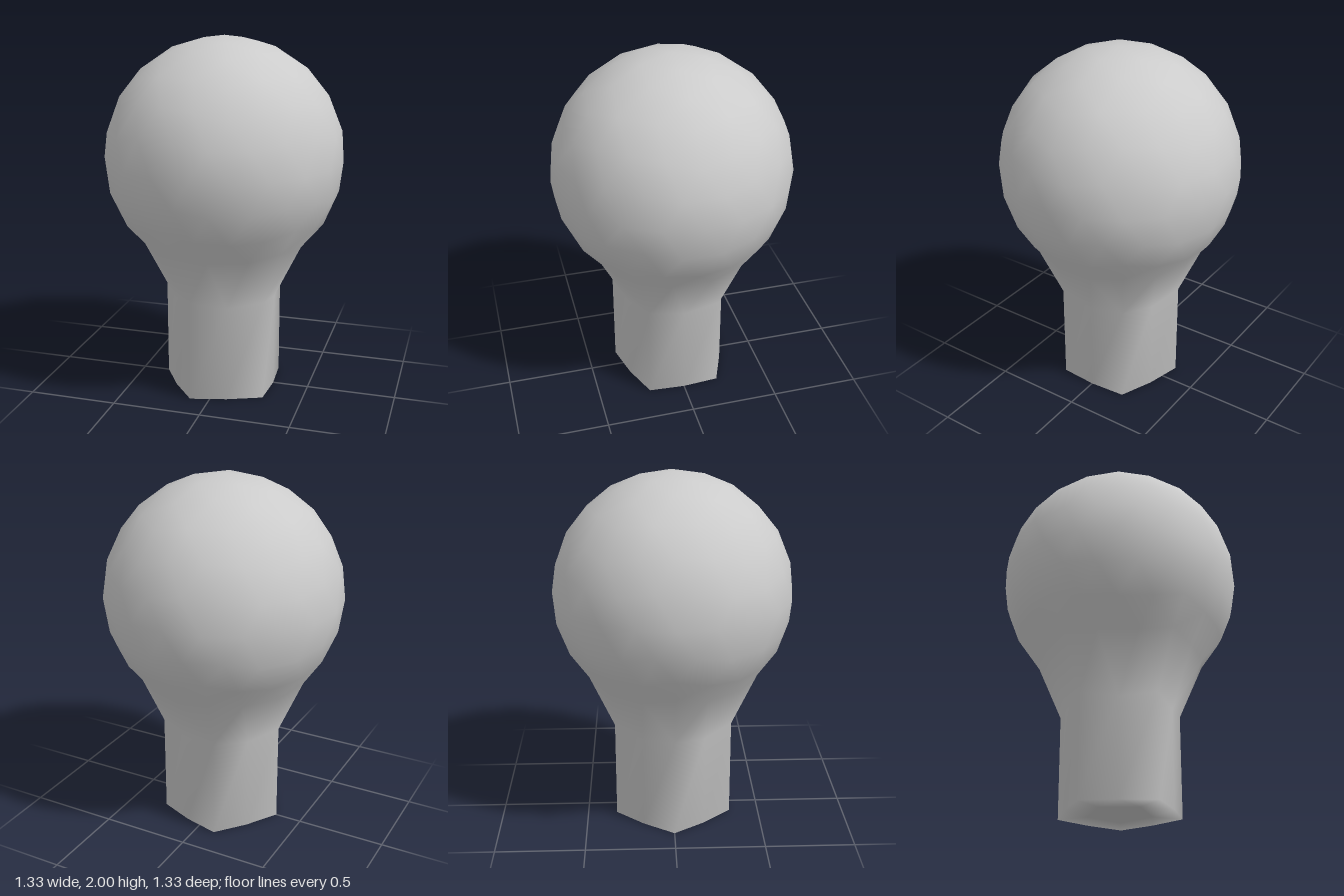
import * as THREE from 'three';
import { mergeVertices } from 'three/addons/utils/BufferGeometryUtils.js';

const RADIUS = 0.663, CENTRE = 2 - RADIUS, DROP = 0.2;

// Upright icosahedron, poles on the y axis, as a list of unit-vector triangles
function icosahedron() {
  const ring = (y, offset) => Array.from({ length: 5 }, (_, i) => {
    const a = (i * 72 + offset) * Math.PI / 180, r = Math.sqrt(1 - y * y);
    return new THREE.Vector3(r * Math.cos(a), y, r * Math.sin(a));
  });
  const h = 1 / Math.sqrt(5);
  const top = new THREE.Vector3(0, 1, 0), bottom = new THREE.Vector3(0, -1, 0);
  const U = ring(h, 0), L = ring(-h, 36), faces = [];
  for (let i = 0; i < 5; i++) {
    const j = (i + 1) % 5;
    faces.push([top, U[j], U[i]], [U[i], U[j], L[i]], [U[j], L[j], L[i]], [bottom, L[i], L[j]]);
  }
  return faces;
}

// Split every triangle in four, pushing the new points out to the sphere
function subdivide(faces) {
  const mid = (a, b) => a.clone().add(b).normalize();
  return faces.flatMap(([a, b, c]) => {
    const ab = mid(a, b), bc = mid(b, c), ca = mid(c, a);
    return [[a, ab, ca], [ab, b, bc], [ca, bc, c], [ab, bc, ca]];
  });
}

// Ball whose bottom patch is pulled down and extruded into a neck with a flat foot
function bulbGeometry() {
  const positions = [];
  const add = (...points) => points.forEach((p) => positions.push(p.x, p.y, p.z));
  const inPatch = (v) => v.y < -0.8;
  const onRim = (v) => inPatch(v) && v.y > -0.93;
  const body = (v) => new THREE.Vector3(
    v.x * RADIUS, CENTRE + v.y * RADIUS - (inPatch(v) ? DROP : 0), v.z * RADIUS);
  const foot = (v) => new THREE.Vector3(v.x * RADIUS, 0, v.z * RADIUS);

  for (const face of subdivide(subdivide(icosahedron()))) {
    if (!face.every(inPatch)) {
      add(...face.map(body)); // ball and flared shoulder
      continue;
    }
    add(...face.map(foot)); // underside
    face.forEach((a, i) => {
      const b = face[(i + 1) % 3];
      if (onRim(a) && onRim(b)) { // neck wall
        add(foot(b), foot(a), body(a), foot(b), body(a), body(b));
      }
    });
  }
  const geometry = new THREE.BufferGeometry();
  geometry.setAttribute('position', new THREE.Float32BufferAttribute(positions, 3));
  const merged = mergeVertices(geometry, 1e-4);
  merged.computeVertexNormals();
  return merged;
}

export function createModel() {
  const group = new THREE.Group();
  group.name = 'bulb';
  const mesh = new THREE.Mesh(bulbGeometry(), new THREE.MeshStandardMaterial({ color: 0xcccccc }));
  mesh.name = 'ballAndNeck';
  group.add(mesh);
  return group;
}
